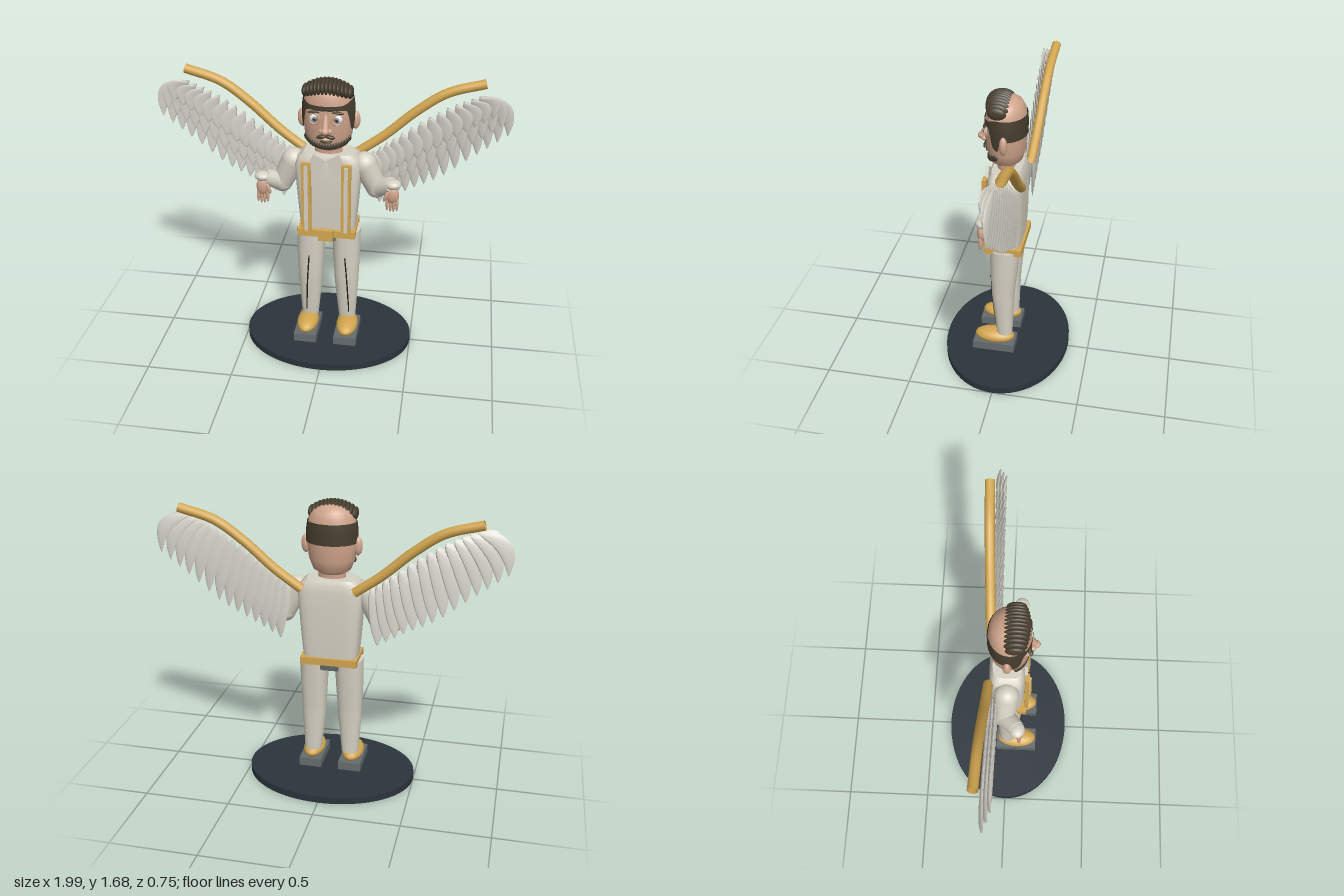
import * as THREE from 'three';

const paint = (name, color, side = THREE.FrontSide) => {
  const m = new THREE.MeshStandardMaterial({ color, side });
  m.name = name;
  return m;
};

export function createModel() {
  const root = new THREE.Group();
  root.name = 'wingedMan';
  const cream = paint('cream', 0xd6d1c3), feather = paint('feather', 0xd8d5ca);
  const gold = paint('gold', 0xd2a650, THREE.DoubleSide), skin = paint('skin', 0xcfa48b);
  const hair = paint('hair', 0x463d2e, THREE.DoubleSide), white = paint('eyeWhite', 0xe8e8e4);
  const iris = paint('iris', 0x6f8088), dark = paint('dark', 0x25231f);
  const grey = paint('grey', 0x666c6e), slate = paint('slate', 0x2b343b);
  const V = (x, y, z) => new THREE.Vector3(x, y, z);

  const add = (name, geo, mat, x = 0, y = 0, z = 0) => {
    const m = new THREE.Mesh(geo, mat);
    m.name = name;
    m.position.set(x, y, z);
    root.add(m);
    return m;
  };
  const box = (name, mat, x, y, z, w, h, d) => add(name, new THREE.BoxGeometry(w, h, d), mat, x, y, z);
  const ball = (name, mat, x, y, z, rx, ry, rz) => {
    const m = add(name, new THREE.SphereGeometry(1, 20, 14), mat, x, y, z);
    m.scale.set(rx, ry, rz);
    return m;
  };
  // Tapered rod between two points
  const rod = (name, mat, a, b, ra, rb) => {
    const d = b.clone().sub(a);
    const m = add(name, new THREE.CylinderGeometry(rb, ra, d.length(), 16), mat);
    m.position.copy(a).addScaledVector(d, 0.5);
    m.quaternion.setFromUnitVectors(V(0, 1, 0), d.normalize());
    return m;
  };
  // Solid through rings [y, rx, rz, cx, cz] listed from bottom to top; power < 1 makes it boxier
  const loft = (rings, power = 1, n = 28) => {
    const pos = [], idx = [];
    const ring = ([y, rx, rz, cx = 0, cz = 0]) => {
      for (let i = 0; i < n; i++) {
        const a = (i / n) * Math.PI * 2, s = Math.sin(a), c = Math.cos(a);
        pos.push(cx + rx * Math.sign(s) * Math.abs(s) ** power, y, cz + rz * Math.sign(c) * Math.abs(c) ** power);
      }
    };
    rings.forEach(ring);
    for (let r = 0; r < rings.length - 1; r++) for (let i = 0; i < n; i++) {
      const a = r * n + i, b = r * n + (i + 1) % n;
      idx.push(a, b, b + n, a, b + n, a + n);
    }
    for (const [r, top] of [[rings[0], false], [rings.at(-1), true]]) {
      const start = pos.length / 3;
      ring(r);
      for (let i = 1; i < n - 1; i++) idx.push(start, start + (top ? i : i + 1), start + (top ? i + 1 : i));
    }
    const g = new THREE.BufferGeometry();
    g.setAttribute('position', new THREE.Float32BufferAttribute(pos, 3));
    g.setIndex(idx);
    g.computeVertexNormals();
    return g;
  };

  // Stand
  add('base', new THREE.CylinderGeometry(0.5, 0.5, 0.04, 64), slate, 0, 0.02, 0).scale.z = 0.75;

  // Torso, belt and collar
  add('pelvis', loft([[0.7, 0.085, 0.07], [0.77, 0.1, 0.08]], 0.5), grey);
  add('torso', loft([[0.745, 0.155, 0.088], [0.9, 0.168, 0.098], [1.08, 0.182, 0.1],
    [1.18, 0.188, 0.098], [1.225, 0.17, 0.092], [1.25, 0.135, 0.08]], 0.45, 32), cream);
  box('belt', gold, 0, 0.767, 0.003, 0.33, 0.042, 0.215);
  box('buckle', gold, 0, 0.768, 0.122, 0.084, 0.066, 0.03);

  // Head: rings give its outline, and headPoint finds spots on its skin
  const headRings = [[1.275, 0.07, 0.06], [1.3, 0.108, 0.09], [1.36, 0.131, 0.106], [1.45, 0.14, 0.112],
    [1.53, 0.139, 0.112], [1.59, 0.13, 0.107], [1.63, 0.105, 0.088], [1.655, 0.065, 0.055], [1.665, 0.02, 0.018]]
    .map(r => [...r, 0, 0.01]);
  const headPoint = (a, y, off) => {
    let i = 0;
    while (i < headRings.length - 2 && headRings[i + 1][0] < y) i++;
    const p = headRings[i], q = headRings[i + 1], t = (y - p[0]) / (q[0] - p[0]);
    return V((p[1] + (q[1] - p[1]) * t + off) * Math.sin(a), y, 0.01 + (p[2] + (q[2] - p[2]) * t + off) * Math.cos(a));
  };
  add('head', loft(headRings, 1, 36), skin);
  add('neck', loft([[1.2, 0.078, 0.05, 0, 0.01], [1.31, 0.078, 0.05, 0, 0.01]]), skin);

  // Hair band round the head, with sideburns in front of the ears
  const band = new THREE.PlaneGeometry(1, 1, 72, 5), bp = band.attributes.position;
  const step = THREE.MathUtils.smoothstep;
  for (let i = 0; i < bp.count; i++) {
    const a = bp.getX(i) * Math.PI * 2, f = Math.abs(a);
    const hi = 1.552 + 0.022 * step(f, 0.6, 1.4);
    const burn = 0.09 * step(f, 0.85, 1.15) * (1 - step(f, 1.35, 1.55));
    const lo = 1.526 - 0.07 * step(f, 0.6, 1.9) - burn;
    const p = headPoint(a, lo + (hi - lo) * (bp.getY(i) + 0.5), 0.006);
    bp.setXYZ(i, p.x, p.y, p.z);
  }
  band.computeVertexNormals();
  add('hairBand', band, hair);

  // Ridged quiff
  for (let i = 0; i < 13; i++) {
    const u = (i - 6) / 6, k = Math.sqrt(1 - 0.55 * u * u);
    const q = ball('quiffLock', hair, u * 0.122, 1.632 - 0.022 * u * u, 0.04, 0.018, 0.052 * k, 0.077 * k);
    q.rotation.x = -0.08;
  }

  // Beard curls, moustache and lips
  for (let i = 0; i < 19; i++) {
    const a = (i - 9) / 9 * 1.2;
    const p = headPoint(a, 1.312 + 0.035 * (a / 1.2) ** 2, 0);
    ball('beardCurl', hair, p.x, p.y, p.z, 0.013, 0.019, 0.012);
  }
  ball('lips', skin, 0, 1.36, 0.116, 0.026, 0.009, 0.014);
  ball('chinTuft', hair, 0, 1.345, 0.112, 0.034, 0.009, 0.013);

  // Nose
  rod('noseBridge', skin, V(0, 1.5, 0.112), V(0, 1.42, 0.142), 0.011, 0.02);
  ball('noseTip', skin, 0, 1.418, 0.146, 0.022, 0.02, 0.024);

  const featherGeo = (b, t, width, bend, z, s) => {
    // Curved leaf from base b to tip t
    const g = new THREE.SphereGeometry(1, 10, 12), p = g.attributes.position;
    const d = t.clone().sub(b), up = d.clone().normalize().negate();
    for (let i = 0; i < p.count; i++) {
      const y = p.getY(i), k = (1 - y) / 2;
      const x = p.getX(i) * width * Math.max(0, 1 - y * y) ** (y < 0 ? 0.4 : 0.15);
      const off = x + s * bend * 4 * k * (1 - k);
      p.setXYZ(i, b.x + d.x * k + up.y * off, b.y + d.y * k - up.x * off, z + p.getZ(i) * 0.008 + s * x * 0.25);
    }
    g.computeVertexNormals();
    return g;
  };
  const spline = pts => new THREE.CatmullRomCurve3(pts);

  for (const s of [-1, 1]) {
    // Shoe, sole and trouser leg with its crease
    box('sole', grey, s * 0.12, 0.076, 0.058, 0.134, 0.052, 0.25);
    ball('shoe', gold, s * 0.12, 0.125, 0.06, 0.064, 0.045, 0.12);
    add('leg', loft([[0.155, 0.05, 0.046, s * 0.113, 0], [0.3, 0.062, 0.056, s * 0.11, 0.005],
      [0.42, 0.071, 0.065, s * 0.108, 0.009], [0.445, 0.071, 0.066, s * 0.108, 0.009],
      [0.6, 0.079, 0.078, s * 0.106, 0.005], [0.765, 0.083, 0.086, s * 0.103, 0]], 0.85), cream);
    add('crease', new THREE.TubeGeometry(spline([V(s * 0.128, 0.2, 0.047), V(s * 0.118, 0.42, 0.074),
      V(s * 0.105, 0.6, 0.083)]), 16, 0.004, 6), dark);

    // Brace with pale inlay, and collar flap
    box('brace', gold, s * 0.112, 0.995, 0.11, 0.054, 0.43, 0.024);
    box('braceInlay', cream, s * 0.112, 0.995, 0.1225, 0.022, 0.41, 0.005);
    const flap = new THREE.Shape([[0, 1.225], [0.07, 1.265], [0.1, 1.2], [0.055, 1.11]]
      .map(([x, y]) => new THREE.Vector2(s * x, y)));
    add('collar', new THREE.ExtrudeGeometry(flap, { depth: 0.016, bevelEnabled: false }), cream, 0, 0, 0.094);

    // Sleeve
    const shoulder = V(s * 0.2, 1.175, 0), elbow = V(s * 0.27, 1.03, -0.01), wrist = V(s * 0.36, 1.085, 0.06);
    ball('shoulder', cream, shoulder.x, shoulder.y, shoulder.z, 0.07, 0.07, 0.068);
    rod('upperSleeve', cream, shoulder, elbow, 0.07, 0.06);
    ball('elbow', cream, elbow.x, elbow.y, elbow.z, 0.061, 0.061, 0.061);
    rod('foreSleeve', cream, elbow, wrist, 0.058, 0.045);
    ball('cuff', cream, s * 0.367, 1.09, 0.064, 0.047, 0.027, 0.042);

    // Hand
    ball('palm', skin, s * 0.367, 1.03, 0.073, 0.037, 0.052, 0.024);
    for (let i = 0; i < 4; i++) {
      const x = s * (0.34 + i * 0.018);
      ball('finger', skin, x, i % 3 ? 0.97 : 0.978, 0.076, 0.009, 0.045, 0.011);
    }
    ball('thumb', skin, s * 0.332, 1.025, 0.086, 0.011, 0.035, 0.012).rotation.z = s * -0.35;

    // Face details
    ball('ear', skin, s * 0.147, 1.437, 0, 0.026, 0.053, 0.022);
    ball('nostril', skin, s * 0.022, 1.413, 0.129, 0.015, 0.014, 0.018);
    ball('moustache', hair, s * 0.024, 1.376, 0.12, 0.028, 0.011, 0.014).rotation.z = s * -0.2;
    ball('eye', white, s * 0.063, 1.475, 0.097, 0.029, 0.027, 0.024);
    ball('iris', iris, s * 0.06, 1.475, 0.115, 0.015, 0.015, 0.009);
    ball('pupil', dark, s * 0.06, 1.475, 0.121, 0.007, 0.007, 0.005);
    add('eyelid', new THREE.TorusGeometry(0.031, 0.005, 8, 24), skin, s * 0.063, 1.475, 0.11).rotation.y = s * 0.3;
    ball('brow', hair, s * 0.063, 1.515, 0.113, 0.036, 0.007, 0.01).rotation.z = s * -0.1;

    // Wing spar
    add('wingSpar', new THREE.TubeGeometry(spline([V(s * 0.15, 1.2, -0.1), V(s * 0.3, 1.31, -0.108),
      V(s * 0.47, 1.46, -0.116), V(s * 0.63, 1.57, -0.123), V(s * 0.835, 1.632, -0.13)]), 32, 0.027, 12), gold);

    // Three overlapping layers of feathers: long at the back, short in front
    const bases = spline([V(0.24, 1.22, 0), V(0.36, 1.31, 0), V(0.52, 1.43, 0), V(0.67, 1.52, 0), V(0.8, 1.575, 0)]);
    const tips = spline([V(0.28, 0.89, 0), V(0.44, 0.98, 0), V(0.61, 1.07, 0), V(0.8, 1.22, 0), V(0.97, 1.35, 0)]);
    [[1, 0.041, -0.09], [0.76, 0.042, -0.072], [0.5, 0.042, -0.054]].forEach(([len, width, z], row) => {
      for (let i = 0; i < 14; i++) {
        const u = i / 13, b = bases.getPoint(u), t = b.clone().lerp(tips.getPoint(u), len);
        b.x *= s;
        t.x *= s;
        add('feather', featherGeo(b, t, width, (0.015 + 0.055 * u ** 3) * (1 - row * 0.2), z, s), feather);
      }
    });
  }
  return root;
}
